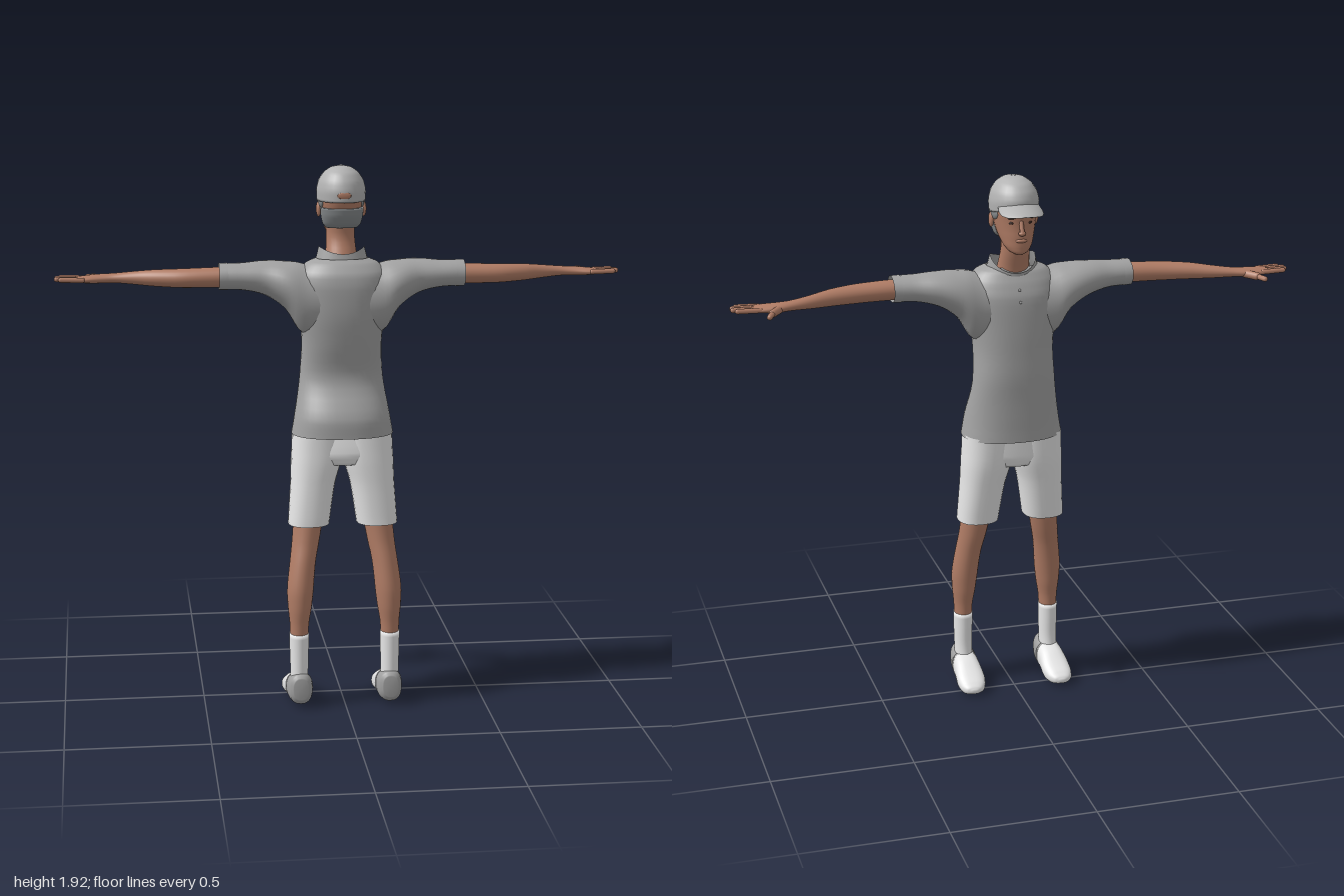
import * as THREE from 'three';

const mat = (name, color, side = THREE.FrontSide) => {
  const m = new THREE.MeshStandardMaterial({ color, side });
  m.name = name;
  return m;
};

// Smooth loft through oval sections [t, a, b, ra, rb] along an axis.
// a, b are the two remaining coordinates in x, y, z order.
function loft(axis, sections, { s = 1, n = 2, sub = 4, seg = 28, caps = true, tweak } = {}) {
  const mid = new THREE.CatmullRomCurve3(sections.map(c => new THREE.Vector3(c[0], c[1], c[2])));
  const rad = new THREE.CatmullRomCurve3(sections.map(c => new THREE.Vector3(c[3], c[4], 0)));
  const rows = (sections.length - 1) * sub;
  const pos = [], idx = [];
  const put = (t, a, b) => {
    const v = axis === 'y' ? [a, t, b] : axis === 'x' ? [t, a, b] : [a, b, t];
    if (tweak) tweak(v);
    pos.push(v[0] * s, v[1], v[2]);
  };
  const oval = (v) => Math.sign(v) * Math.pow(Math.abs(v), 2 / n);
  for (let i = 0; i <= rows; i++) {
    const c = mid.getPoint(i / rows), r = rad.getPoint(i / rows);
    for (let j = 0; j < seg; j++) {
      const w = (j / seg) * Math.PI * 2;
      put(c.x, c.y + r.x * oval(Math.cos(w)), c.z + r.y * oval(Math.sin(w)));
    }
  }
  const down = sections[0][0] > sections[sections.length - 1][0];
  const flip = ((axis === 'y') !== down) !== (s < 0);
  const tri = (a, b, c) => (flip ? idx.push(a, c, b) : idx.push(a, b, c));
  for (let i = 0; i < rows; i++) for (let j = 0; j < seg; j++) {
    const k = (j + 1) % seg, p = i * seg, q = p + seg;
    tri(p + j, p + k, q + k);
    tri(p + j, q + k, q + j);
  }
  if (caps) {
    const first = sections[0], last = sections[sections.length - 1], e = pos.length / 3;
    put(first[0], first[1], first[2]);
    put(last[0], last[1], last[2]);
    for (let j = 0; j < seg; j++) {
      const k = (j + 1) % seg, q = rows * seg;
      tri(e, k, j);
      tri(e + 1, q + j, q + k);
    }
  }
  const g = new THREE.BufferGeometry();
  g.setAttribute('position', new THREE.Float32BufferAttribute(pos, 3));
  g.setIndex(idx);
  g.computeVertexNormals();
  return g;
}

// Rounded rod between two points
function rod(p, q, r) {
  const a = new THREE.Vector3(...p), b = new THREE.Vector3(...q), d = b.clone().sub(a);
  const g = new THREE.CapsuleGeometry(r, d.length(), 4, 10);
  g.applyQuaternion(new THREE.Quaternion().setFromUnitVectors(new THREE.Vector3(0, 1, 0), d.clone().normalize()));
  g.translate(...a.add(b).multiplyScalar(0.5).toArray());
  return g;
}

const ball = (x, y, z, rx, ry, rz) =>
  new THREE.SphereGeometry(1, 20, 14).scale(rx, ry, rz).translate(x, y, z);

export function createModel() {
  const root = new THREE.Group();
  root.name = 'standingFigure';
  const skin = mat('skin', 0xb07c65);
  const shirt = mat('shirt grey', 0xa2a2a2, THREE.DoubleSide);
  const white = mat('white cloth', 0xf0f0f0, THREE.DoubleSide);
  const capGrey = mat('cap grey', 0xb2b2b2, THREE.DoubleSide);
  const hairGrey = mat('hair grey', 0x84888a);
  const heelGrey = mat('heel grey', 0xa0a0a0);
  const dark = mat('dark brown', 0x3c2a24);
  const add = (name, geo, m) => {
    const mesh = new THREE.Mesh(geo, m);
    mesh.name = name;
    root.add(mesh);
  };

  // Shirt body, open at the hem
  add('shirtBody', loft('y', [
    [0.98, 0, 0.042, 0.18, 0.133], [1.05, 0, 0.04, 0.168, 0.131], [1.18, 0, 0.008, 0.147, 0.102],
    [1.3, 0, 0.02, 0.141, 0.113], [1.4, 0, 0.03, 0.15, 0.12], [1.5, 0, 0.035, 0.162, 0.117],
    [1.55, 0, 0.04, 0.155, 0.102], [1.585, 0, 0.038, 0.125, 0.078], [1.6, 0, 0.036, 0.09, 0.06],
  ], { n: 2.3, caps: false, seg: 40 }), shirt);

  // Collar, high at the sides and dipped front and back
  add('collar', loft('y', [
    [1.56, 0, 0.03, 0.108, 0.08], [1.6, 0, 0.026, 0.09, 0.073], [1.64, 0, 0.02, 0.08, 0.068],
  ], {
    caps: false,
    tweak: (v) => {
      const f = (v[2] - 0.022) / 0.07;
      v[1] -= f < 0 ? 0.055 * Math.min(1, -f) : 0.025 * f * f;
    },
  }), shirt);
  for (const y of [1.53, 1.49]) {
    add('shirtButton', ball(0, y, y > 1.5 ? -0.07 : -0.083, 0.005, 0.005, 0.004), heelGrey);
  }

  // Pelvis of the shorts
  add('shortsTop', loft('y', [
    [0.875, 0, 0.038, 0.1, 0.085], [0.92, 0, 0.037, 0.165, 0.095], [1.03, 0, 0.025, 0.145, 0.085],
  ], { n: 2.4 }), white);

  for (const s of [1, -1]) {
    // The figure faces -z, so its own left is -x
    const side = s < 0 ? 'left' : 'right';
    const o = { s };
    add(side + 'Sleeve', loft('x', [
      [0.06, 1.45, 0.037, 0.12, 0.1], [0.14, 1.46, 0.035, 0.122, 0.104], [0.2, 1.507, 0.032, 0.083, 0.098],
      [0.27, 1.532, 0.025, 0.06, 0.076], [0.35, 1.539, 0.032, 0.047, 0.061], [0.425, 1.54, 0.033, 0.045, 0.055],
    ], { s, caps: false }), shirt);
    add(side + 'Cuff', loft('x', [
      [0.4, 1.54, 0.033, 0.047, 0.058], [0.43, 1.54, 0.033, 0.046, 0.057],
    ], { s, caps: false }), shirt);

    // Arm and palm
    add(side + 'Arm', loft('x', [
      [0.34, 1.538, 0.033, 0.036, 0.042], [0.45, 1.537, 0.033, 0.035, 0.041], [0.56, 1.535, 0.026, 0.033, 0.041],
      [0.65, 1.534, 0.004, 0.029, 0.035], [0.72, 1.532, -0.021, 0.023, 0.028], [0.79, 1.53, -0.039, 0.017, 0.026],
      [0.84, 1.528, -0.044, 0.016, 0.032], [0.89, 1.527, -0.039, 0.013, 0.037], [0.925, 1.527, -0.036, 0.009, 0.036],
    ], o), skin);
    [[-0.066, 0.977], [-0.046, 0.99], [-0.026, 0.99], [-0.007, 0.975]].forEach(([z, tip]) =>
      add(side + 'Finger', rod([s * 0.9, 1.528, z], [s * tip, 1.53, z], 0.009), skin));
    add(side + 'Thumb', rod([s * 0.835, 1.525, -0.06], [s * 0.865, 1.524, -0.1], 0.014), skin);
    add(side + 'ThumbTip', rod([s * 0.865, 1.524, -0.1], [s * 0.881, 1.522, -0.135], 0.01), skin);

    // Shorts leg, lower leg and sock
    add(side + 'ShortsLeg', loft('y', [
      [0.655, 0.122, 0.058, 0.073, 0.077], [0.8, 0.106, 0.046, 0.079, 0.088],
      [0.89, 0.092, 0.039, 0.09, 0.096], [0.99, 0.085, 0.035, 0.092, 0.098],
    ], { s, n: 2.4, caps: false }), white);
    add(side + 'Leg', loft('y', [
      [0.23, 0.163, 0.12, 0.031, 0.037], [0.3, 0.162, 0.12, 0.034, 0.042], [0.36, 0.16, 0.117, 0.042, 0.052],
      [0.43, 0.157, 0.111, 0.047, 0.057], [0.52, 0.147, 0.095, 0.046, 0.058],
      [0.6, 0.134, 0.076, 0.049, 0.06], [0.75, 0.115, 0.052, 0.056, 0.066],
    ], o), skin);
    add(side + 'Sock', loft('y', [
      [0.06, 0.163, 0.115, 0.032, 0.045], [0.13, 0.163, 0.12, 0.032, 0.04],
      [0.2, 0.163, 0.12, 0.034, 0.041], [0.265, 0.163, 0.12, 0.035, 0.042],
    ], o), white);

    // Shoe in two colours
    add(side + 'ShoeHeel', loft('z', [
      [0.18, 0.161, 0.07, 0.026, 0.038], [0.165, 0.161, 0.068, 0.04, 0.055],
      [0.135, 0.161, 0.064, 0.045, 0.056], [0.1, 0.162, 0.06, 0.047, 0.052],
    ], { s, n: 2.5 }), heelGrey);
    add(side + 'ShoeFront', loft('z', [
      [0.1, 0.162, 0.06, 0.047, 0.052], [0.05, 0.163, 0.052, 0.049, 0.046], [0, 0.164, 0.036, 0.052, 0.036],
      [-0.04, 0.166, 0.027, 0.044, 0.025], [-0.06, 0.167, 0.024, 0.028, 0.014], [-0.067, 0.167, 0.023, 0.01, 0.005],
    ], { s, n: 2.5 }), white);

    // Ear, eye and brow
    add(side + 'Ear', ball(s * 0.079, 1.768, 0.012, 0.009, 0.027, 0.017), skin);
    add(side + 'Eye', ball(s * 0.03, 1.772, -0.081, 0.011, 0.005, 0.005), dark);
    add(side + 'Brow', ball(s * 0.031, 1.79, -0.086, 0.017, 0.003, 0.006), dark);
  }

  // Neck, head and face
  add('neck', loft('y', [
    [1.53, 0, 0.03, 0.068, 0.058], [1.6, 0, 0.012, 0.056, 0.054],
    [1.67, 0, -0.012, 0.05, 0.05], [1.74, 0, -0.01, 0.052, 0.055],
  ]), skin);
  add('head', loft('y', [
    [1.658, 0, -0.066, 0.012, 0.014], [1.668, 0, -0.058, 0.032, 0.033], [1.69, 0, -0.04, 0.05, 0.053],
    [1.725, 0, -0.016, 0.063, 0.077], [1.765, 0, -0.003, 0.072, 0.089],
    [1.81, 0, 0.003, 0.077, 0.099], [1.86, 0, 0.003, 0.07, 0.09],
  ]), skin);
  add('nose', rod([0, 1.775, -0.088], [0, 1.741, -0.103], 0.008), skin);
  add('noseTip', ball(0, 1.738, -0.101, 0.013, 0.009, 0.011), skin);
  add('lips', ball(0, 1.71, -0.09, 0.02, 0.007, 0.008), skin);

  // Short hair on the nape and temples
  add('hair', loft('y', [
    [1.705, 0, 0.03, 0.055, 0.03], [1.72, 0, 0.032, 0.067, 0.043],
    [1.75, 0, 0.035, 0.074, 0.056], [1.775, 0, 0.038, 0.076, 0.058],
  ]), hairGrey);
  for (const s of [1, -1]) add('sideHair', ball(s * 0.07, 1.795, 0.005, 0.011, 0.024, 0.045), hairGrey);

  // Cap: crown rises slightly toward the front, brim curves down at the sides
  add('capCrown', loft('y', [
    [1.798, 0, 0.006, 0.085, 0.108], [1.83, 0, 0.006, 0.086, 0.11], [1.865, 0, 0.007, 0.079, 0.1],
    [1.895, 0, 0.008, 0.06, 0.077], [1.912, 0, 0.008, 0.035, 0.046], [1.918, 0, 0.008, 0.008, 0.01],
  ], { tweak: (v) => { v[1] += 0.16 * Math.max(0, -v[2]) * Math.max(0, (1.92 - v[1]) / 0.12); } }), capGrey);
  add('capButton', ball(0, 1.917, 0.008, 0.009, 0.004, 0.009), capGrey);
  const brim = ball(0, 0, 0, 0.077, 0.007, 0.09);
  const p = brim.attributes.position;
  for (let i = 0; i < p.count; i++) {
    const x = p.getX(i), z = p.getZ(i);
    p.setXYZ(i, x, p.getY(i) + 1.838 - 4.5 * x * x + 0.3 * z, z - 0.085);
  }
  brim.computeVertexNormals();
  add('capBrim', brim, capGrey);
  add('capBackOpening', ball(0, 1.823, 0.113, 0.024, 0.012, 0.004), skin);

  return root;
}
